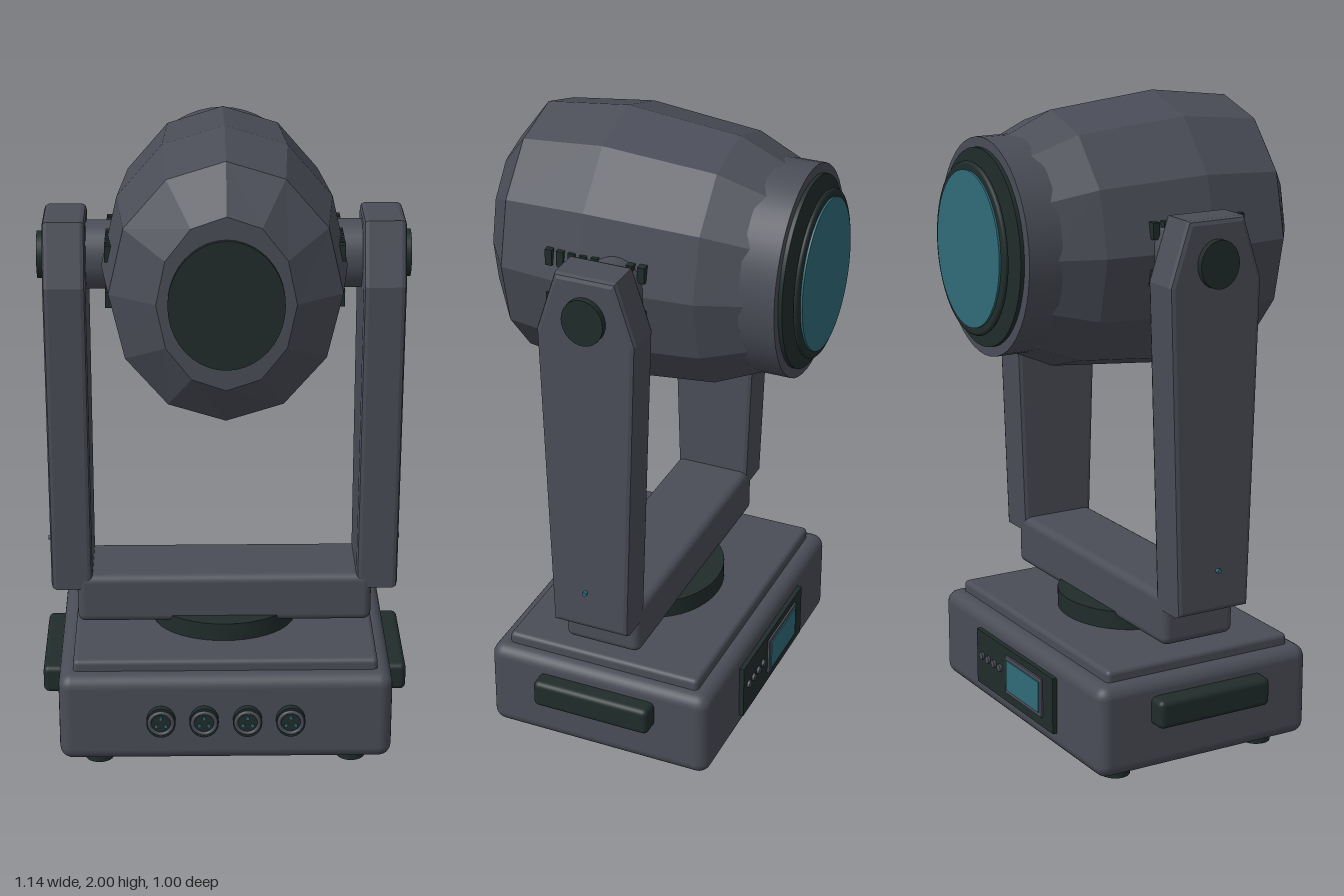
import * as THREE from 'three';
import { RoundedBoxGeometry } from 'three/addons/geometries/RoundedBoxGeometry.js';

const material = (name, color) => {
  const m = new THREE.MeshStandardMaterial({ color });
  m.name = name;
  return m;
};

export function createModel() {
  const grey = material('housing grey', 0x4a4d57);
  const dark = material('dark trim', 0x202c2b);
  const teal = material('lens teal', 0x2f6b78);
  const model = new THREE.Group();
  model.name = 'movingHeadLight';

  const add = (name, geometry, mat, x = 0, y = 0, z = 0, parent = model) => {
    const mesh = new THREE.Mesh(geometry, mat);
    mesh.name = name;
    mesh.position.set(x, y, z);
    parent.add(mesh);
    return mesh;
  };
  const box = (w, h, d, r) => r ? new RoundedBoxGeometry(w, h, d, 3, r) : new THREE.BoxGeometry(w, h, d);
  // Elliptical discs lying along z or x
  const discZ = (rx, ry, depth, n = 40) =>
    new THREE.CylinderGeometry(1, 1, depth, n).rotateX(Math.PI / 2).scale(rx, ry, 1);
  const discX = (ry, rz, depth, n = 32) =>
    new THREE.CylinderGeometry(1, 1, depth, n).rotateZ(Math.PI / 2).scale(1, ry, rz);
  // Revolved profile of [radius, z] pairs around the z axis
  const turned = (profile, segments) => new THREE.LatheGeometry(
    profile.map(([r, z]) => new THREE.Vector2(r, z)), segments).rotateX(Math.PI / 2);

  // Base
  add('base', box(1.03, 0.29, 0.74, 0.04), grey, 0, 0.185, 0.02);
  add('baseLid', box(0.94, 0.06, 0.64, 0.015), grey, 0, 0.335, 0.02);
  for (const x of [-0.395, 0.395]) for (const z of [-0.23, 0.28]) {
    add('foot', new THREE.CylinderGeometry(0.045, 0.045, 0.06, 24), dark, x, 0.03, z);
  }
  for (const s of [-1, 1]) {
    add('sideHandle', box(0.08, 0.09, 0.39, 0.018), dark, s * 0.53, 0.232, 0.02);
  }
  add('turntable', new THREE.CylinderGeometry(1, 1, 0.07, 40).scale(0.225, 1, 0.19), dark, 0, 0.388, 0.02);

  // Front sockets
  for (const x of [-0.2, -0.067, 0.067, 0.2]) {
    const socket = new THREE.Group();
    socket.name = 'socket';
    socket.position.set(x, 0.185, 0.39);
    model.add(socket);
    add('socketBody', discZ(0.045, 0.05, 0.03), dark, 0, 0, 0.005, socket);
    add('socketRing', new THREE.TorusGeometry(0.036, 0.006, 8, 28), grey, 0, 0, 0.02, socket);
    for (let i = 0; i < 3; i++) {
      const a = Math.PI / 2 + i * Math.PI * 2 / 3;
      add('socketPin', discZ(0.006, 0.006, 0.008, 10), teal, 0.017 * Math.cos(a), 0.017 * Math.sin(a), 0.022, socket);
    }
  }

  // Rear control panel
  add('controlPanel', box(0.5, 0.18, 0.03), dark, 0, 0.19, -0.35);
  add('screenFrame', box(0.235, 0.125, 0.008), grey, -0.07, 0.195, -0.367);
  add('screen', box(0.21, 0.1, 0.009), teal, -0.07, 0.195, -0.37);
  for (let i = 0; i < 4; i++) {
    add('panelButton', discZ(0.012, 0.012, 0.01, 16), grey, 0.09 + i * 0.04, 0.2, -0.368);
  }

  // Yoke
  add('yokeBeam', box(0.92, 0.16, 0.25, 0.025), grey, 0, 0.48, 0.025);
  const b = 0.015;
  const armShape = new THREE.Shape([
    [0.148 - b, 0.515 + b], [0.178 - b, 1.515], [0.122 - b, 1.705 - b],
    [-0.075 + b, 1.705 - b], [-0.132 + b, 1.515], [-0.1 + b, 0.515 + b],
  ].map(([z, y]) => new THREE.Vector2(-z, y)));
  const arm = new THREE.ExtrudeGeometry(armShape, {
    depth: 0.128 - 2 * b, bevelEnabled: true, bevelSize: b, bevelThickness: b, bevelSegments: 2,
  }).translate(0, 0, -0.064 + b).rotateY(Math.PI / 2);
  for (const s of [-1, 1]) {
    add('yokeArm', arm, grey, s * 0.476, 0, 0);
    add('pivotJoint', discX(0.105, 0.092, 0.12), grey, s * 0.37, 1.575, 0.022);
    add('pivotCap', discX(0.072, 0.065, 0.04), dark, s * 0.54, 1.575, 0.022);
    add('statusLight', discX(0.007, 0.007, 0.02, 12), teal, s * 0.542, 0.645, 0.037);
  }

  // Head shell: twelve flat sides, slimmer across x and most at the nose
  const head = new THREE.Group();
  head.name = 'head';
  head.position.y = 1.575;
  model.add(head);
  const shell = turned([[0, -0.38], [0.32, -0.38], [0.39, -0.22], [0.425, 0.13],
    [0.392, 0.39], [0.26, 0.487], [0, 0.487]], 12);
  const p = shell.attributes.position;
  for (let i = 0; i < p.count; i++) p.setX(i, p.getX(i) * (p.getZ(i) > 0.45 ? 0.77 : 0.86));
  const flatShell = shell.toNonIndexed();
  flatShell.computeVertexNormals();
  add('headShell', flatShell, grey, 0, 0, 0, head);
  add('noseDisc', discZ(0.167, 0.193, 0.03), dark, 0, 0, 0.485, head);

  // Lens end
  add('lensBarrel', discZ(0.285, 0.327, 0.11, 48), grey, 0, 0, -0.393, head);
  add('barrelRing', discZ(0.255, 0.297, 0.02, 48), dark, 0, 0, -0.45, head);
  add('lensRing', turned([[0, -0.495], [0.25, -0.495], [0.257, -0.492], [0.26, -0.487],
    [0.257, -0.482], [0.25, -0.479], [0, -0.479]], 48).scale(0.86, 1, 1), dark, 0, 0, 0, head);
  add('lens', discZ(0.2, 0.235, 0.01, 48), teal, 0, 0, -0.496, head);

  // Cooling slots
  for (const s of [-1, 1]) for (const y of [-0.07, 0.07]) for (let i = 0; i < 9; i++) {
    add('coolingSlot', box(0.03, 0.05, 0.022), dark, s * 0.337, y, 0.227 - i * 0.0365, head);
  }
  return model;
}
